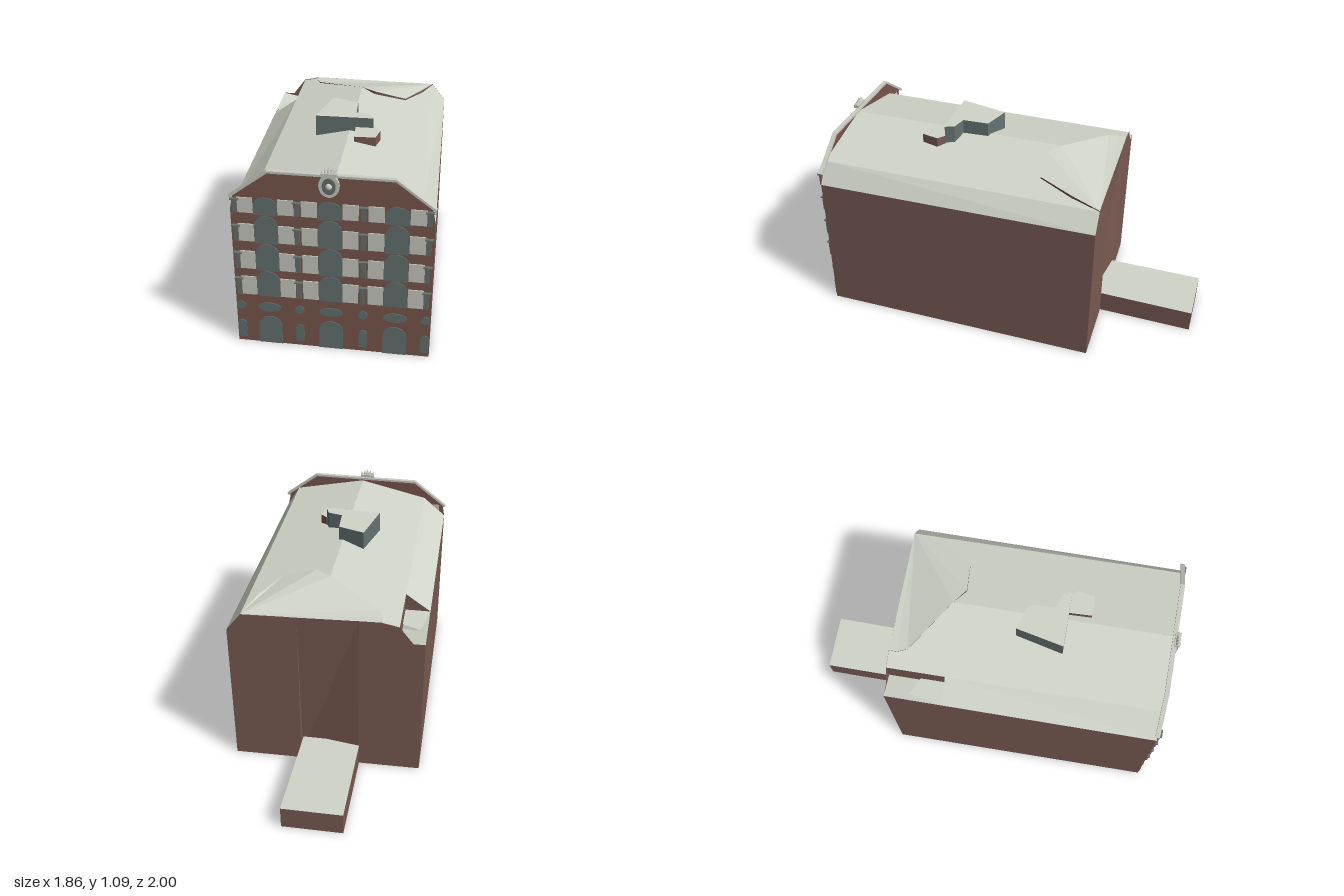
import * as THREE from 'three';

const mat = (name, color) => {
  const m = new THREE.MeshStandardMaterial({ color, side: THREE.DoubleSide });
  m.name = name;
  return m;
};

// Plan corners [x, z]: front left, front right, back right, back left (as seen from the street)
const A = [-0.92, 0.28], B = [-0.18, 0.985], C = [0.85, -0.155], D = [0.08, -0.83];
// u runs across the street front, d runs towards the back, both 0..1
const P = (u, y, d) => {
  const mix = (i) => (A[i] * (1 - u) + B[i] * u) * (1 - d) + (D[i] * (1 - u) + C[i] * u) * d;
  return [mix(0), y, mix(1)];
};

// Flat-shaded mesh from a list of polygons, each fanned from its first corner
function faces(name, material, polys) {
  const pos = [];
  for (const p of polys) {
    for (let i = 1; i < p.length - 1; i++) pos.push(...p[0], ...p[i], ...p[i + 1]);
  }
  const g = new THREE.BufferGeometry();
  g.setAttribute('position', new THREE.Float32BufferAttribute(pos, 3));
  g.computeVertexNormals();
  const m = new THREE.Mesh(g, material);
  m.name = name;
  return m;
}
const plan = (list) => list.map((p) => P(...p));

// Upright block over a plan outline in [x, z], with its own top colour
function block(name, outline, y0, y1, sideMat, topMat) {
  const g = new THREE.Group();
  g.name = name;
  const at = (y) => outline.map(([x, z]) => [x, y, z]);
  const lo = at(y0), hi = at(y1);
  g.add(faces(name + 'Sides', sideMat, lo.map((p, i) => {
    const j = (i + 1) % lo.length;
    return [p, lo[j], hi[j], hi[i]];
  })));
  const tris = THREE.ShapeUtils.triangulateShape(outline.map((p) => new THREE.Vector2(...p)), []);
  g.add(faces(name + 'Top', topMat, tris.map((t) => [hi[t[0]], hi[t[2]], hi[t[1]]])));
  g.add(faces(name + 'Bottom', topMat, tris.map((t) => t.map((i) => lo[i]))));
  return g;
}

export function createModel() {
  const brick = mat('brick', 0x7a5b52);
  const facadeBrick = mat('facadeBrick', 0x7a564d);
  const roof = mat('roofGrey', 0xd1d5c9);
  const glass = mat('glass', 0x647371);
  const trim = mat('paleTrim', 0xcbccc2);
  const iron = mat('iron', 0x6a726e);
  const model = new THREE.Group();
  model.name = 'townBuilding';

  // Side walls
  model.add(faces('rightWall', brick, [plan([[1, 0, 0], [1, 0, 1], [1, 0.83, 1], [1, 0.81, 0]])]));
  model.add(faces('leftWall', brick, [plan([[0, 0, 1], [0, 0, 0], [0, 0.81, 0], [0, 0.83, 1]])]));

  // Back wall with a slanting recess in the middle that fades out at the top
  const r = 0.965;
  model.add(faces('backWall', brick, [
    plan([[0.33, 0, 1], [0, 0, 1], [0, 0.83, 1], [0.06, 0.83, 1], [0.13, 0.925, 1], [0.22, 0.945, 1], [0.33, 0.943, 1]]),
    plan([[0.64, 0, r], [0.33, 0, 1], [0.33, 0.943, 1], [0.64, 0.935, 1]]),
    plan([[0.64, 0, 1], [0.64, 0, r], [0.64, 0.935, 1]]),
    plan([[1, 0, 1], [0.64, 0, 1], [0.64, 0.935, 1], [0.925, 0.927, 1], [1, 0.83, 1]]),
  ]));
  model.add(faces('floor', roof, [plan([[0, 0, 0.14], [0, 0, 1], [0.33, 0, 1], [0.64, 0, r], [0.64, 0, 1], [1, 0, 1], [1, 0, 0.14]])]));

  // Mansard roof; the upper slopes stop at the outline of the rear plate
  const n = 0.785;
  const left = (u, d) => [u, 0.921 + (u - 0.13) * 0.228, d];
  const right = (u, d) => [u, 1.01 - (u - 0.52) * 0.21, d];
  model.add(faces('mansardRoof', roof, [
    plan([[0, 0.81, 0], left(0.13, 0), left(0.13, n), [0, 0.825, n]]),
    plan([left(0.13, 0), left(0.52, 0), left(0.52, 0.8), left(0.24, 0.934), left(0.22, 0.97), left(0.22, 1), left(0.13, 1)]),
    plan([right(0.93, 0), right(0.925, 1), right(0.87, 0.894), right(0.777, 0.77), right(0.6, 0.76), right(0.52, 0.8), right(0.52, 0)]),
    plan([right(0.93, 0), [1, 0.81, 0], [1, 0.83, 1], right(0.925, 1)]),
  ]));

  // Terrace in the cut rear left corner: flat part and inward-sloping part
  model.add(faces('terraceFloor', roof, [
    plan([[0, 0.825, n], [0.13, 0.825, n], [0.13, 0.825, 0.88], [0.035, 0.825, 0.91]]),
    plan([[0, 0.83, 1], [0, 0.83, n], [0.035, 0.822, 0.91], [0.13, 0.8, 0.88], [0.13, 0.8, 1]]),
  ]));
  model.add(faces('terraceWalls', brick, [
    plan([[0.13, 0.8, 1], [0.13, 0.8, n], [0.13, 0.921, n], [0.13, 0.921, 1]]),
    plan([[0.13, 0.82, n], [0, 0.82, n], [0.13, 0.921, n]]),
  ]));

  // Raised rear roof plate with brick cheeks
  const plate = [[0.5, 0.939, 1], [0.22, 0.945, 1], [0.22, 0.946, 0.97], [0.24, 0.951, 0.934], [0.52, 1.01, 0.8],
    [0.6, 1.01, 0.76], [0.777, 0.965, 0.77], [0.87, 0.951, 0.894], [0.925, 0.93, 1]];
  model.add(faces('rearRoofPlate', roof, [plan([...plate].reverse())]));
  model.add(faces('rearRoofCheeks', brick, plate.slice(1, -1).map((p, i) => {
    const q = plate[i + 2];
    const drop = ([u, y, d]) => [u, y - 0.03, d];
    return plan([p, q, drop(q), drop(p)]);
  })));

  // Low rear annex and rooftop structures
  model.add(block('annex', [[0.31, -0.59], [0.545, -0.38], [0.925, -0.785], [0.685, -1]], 0, 0.125, brick, roof));
  model.add(block('roofLantern', [[-0.28, 0.09], [-0.05, 0.3], [-0.03, 0.25], [-0.075, 0.18], [0.015, 0.07], [-0.06, -0.065]],
    0.95, 1.085, glass, roof));
  model.add(block('roofStair', [[-0.2, 0.33], [-0.115, 0.405], [-0.04, 0.35], [-0.045, 0.3], [-0.12, 0.235]],
    0.95, 1.03, brick, roof));

  // Street front, built in its own upright frame: x across, z outwards
  const front = new THREE.Group();
  front.name = 'streetFront';
  front.position.set(A[0], 0, A[1]);
  front.rotation.y = -Math.atan2(B[1] - A[1], B[0] - A[0]);
  model.add(front);
  const W = Math.hypot(B[0] - A[0], B[1] - A[1]);
  const add = (name, geo, m, x, y, z) => {
    const o = new THREE.Mesh(geo, m);
    o.name = name;
    o.position.set(x, y, z);
    front.add(o);
    return o;
  };

  const gable = new THREE.Shape([[0, 0], [1, 0], [1, 0.81], [0.985, 0.885], [0.81, 1.025], [0.19, 1.025], [0.015, 0.885], [0, 0.81]]
    .map(([u, y]) => new THREE.Vector2(u * W, y)));
  add('gableWall', new THREE.ShapeGeometry(gable), facadeBrick, 0, 0, 0);

  // Thin coping along the gable edge
  const edge = [[0, 0.882], [0.19, 1.029], [0.81, 1.029], [1, 0.882]].map(([u, y]) => [u * W, y]);
  for (let i = 0; i < 3; i++) {
    const [x0, y0] = edge[i], [x1, y1] = edge[i + 1];
    const bar = add('coping', new THREE.BoxGeometry(Math.hypot(x1 - x0, y1 - y0) + 0.004, 0.012, 0.024), trim,
      (x0 + x1) / 2, (y0 + y1) / 2, -0.006);
    bar.rotation.z = Math.atan2(y1 - y0, x1 - x0);
  }

  // Arched and oval panes pass through the wall plane
  const pane = (shape) => new THREE.ExtrudeGeometry(shape, { depth: 0.008, bevelEnabled: false, curveSegments: 8 });
  const arch = (w, h) => {
    const rise = Math.min(w * 0.45, h * 0.4);
    const s = new THREE.Shape();
    s.moveTo(-w / 2, 0);
    s.lineTo(w / 2, 0);
    s.lineTo(w / 2, h - rise);
    s.absellipse(0, h - rise, w / 2, rise, 0, Math.PI, false);
    return pane(s);
  };
  const oval = (w, h) => pane(new THREE.Shape().absellipse(0, 0, w / 2, h / 2, 0, Math.PI * 2, false));
  // Each storey: window base, window height, panel base, panel height
  const rows = [[0.3, 0.152, 0.305, 0.11], [0.456, 0.16, 0.465, 0.105], [0.62, 0.16, 0.63, 0.1], [0.785, 0.1, 0.795, 0.085]];

  for (const u of [0.175, 0.493, 0.82]) {
    const x = u * W;
    add('doorway', arch(0.125, 0.172), glass, x, 0, -0.004);
    add('transom', oval(0.125, 0.055), glass, x, 0.23, -0.004);
    for (const [y, h, py, ph] of rows) {
      add('window', arch(0.122, h), glass, x, y, -0.004);
      for (const side of [-1, 1]) {
        add('palePanel', new THREE.BoxGeometry(0.08, ph, 0.008), trim, x + side * 0.103, py + ph / 2, 0.002);
      }
    }
  }
  for (const u of [0.025, 0.332, 0.658, 0.975]) {
    const x = u * W;
    add('sideLight', arch(0.045, 0.11), glass, x, 0.025, -0.004);
    add('smallTransom', oval(0.05, 0.05), glass, x, 0.23, -0.004);
    for (const [, , y, ph] of rows) {
      // Slim projecting iron grille with a top rail
      add('grille', new THREE.BoxGeometry(0.026, ph * 0.85, 0.012), iron, x, y + ph * 0.45, 0.008);
      add('grilleRail', new THREE.BoxGeometry(0.045, 0.007, 0.018), iron, x, y + ph * 0.9, 0.009);
    }
  }

  // Crowned oval cartouche at the gable centre
  const cx = 0.492 * W;
  const disc = (name, m, rx, ry, z) => {
    const o = add(name, new THREE.CylinderGeometry(1, 1, 0.014, 20), m, cx, 0.98, z);
    o.rotation.x = Math.PI / 2;
    o.scale.set(rx, 1, ry);
  };
  disc('cartoucheFrame', trim, 0.052, 0.062, 0.008);
  disc('cartoucheField', iron, 0.034, 0.044, 0.013);
  add('cartoucheBoss', new THREE.SphereGeometry(0.018, 10, 8), trim, cx, 0.98, 0.018);
  add('crownBand', new THREE.BoxGeometry(0.08, 0.018, 0.03), trim, cx, 1.042, 0.008);
  for (let k = -2; k <= 2; k++) {
    const spike = add('crownPoint', new THREE.ConeGeometry(0.014, 0.045 - Math.abs(k) * 0.008, 6), trim, cx + k * 0.016, 1.066 - Math.abs(k) * 0.005, 0.008);
    spike.rotation.z = -k * 0.2;
  }
  return model;
}
